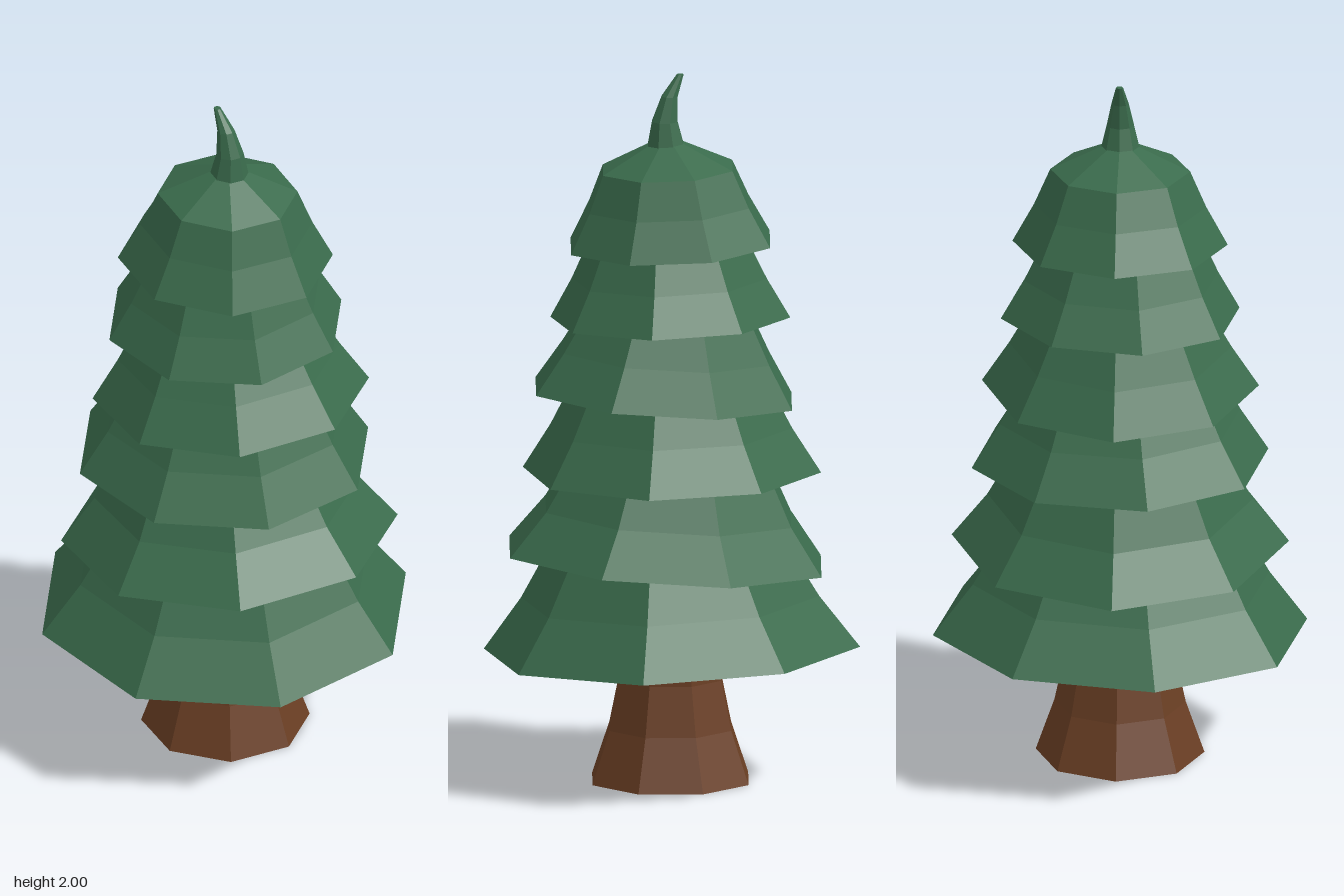
import * as THREE from 'three';

const SIDES = 8;

// Eight-sided faceted solid from [radius, height] pairs, listed bottom to top
function facetedLathe(profile, turn = 0) {
  const points = profile.map(([r, y]) => new THREE.Vector2(r, y));
  return new THREE.LatheGeometry(points, SIDES, turn, Math.PI * 2);
}

export function createModel() {
  const tree = new THREE.Group();
  tree.name = 'pineTree';

  const needles = new THREE.MeshStandardMaterial({ color: 0x3a6b4c, flatShading: true });
  needles.name = 'needle green';
  const bark = new THREE.MeshStandardMaterial({ color: 0x6b3f24, flatShading: true });
  bark.name = 'bark brown';

  const add = (name, geometry, material) => {
    const mesh = new THREE.Mesh(geometry, material);
    mesh.name = name;
    tree.add(mesh);
    return mesh;
  };

  // Flared trunk
  const trunk = add('trunk', facetedLathe([
    [0, 0], [0.235, 0], [0.183, 0.15], [0.153, 0.29], [0.148, 0.42], [0, 0.42],
  ]), bark);
  trunk.position.x = 0.005;

  // Skirts of branches: alternately turned and tilted
  const turned = THREE.MathUtils.degToRad(13.5);
  const tiers = [
    { x: 0, y: 0.372, rim: 0.53, mid: [0.42, 0.145], top: [0.335, 0.29], turn: turned, tiltX: 0.02, tiltZ: -0.03 },
    { x: 0.02, y: 0.632, rim: 0.47, mid: [0.37, 0.128], top: [0.3, 0.255], turn: 0, tiltX: 0, tiltZ: 0.069 },
    { x: 0, y: 0.878, rim: 0.42, mid: [0.34, 0.125], top: [0.28, 0.24], turn: turned, tiltX: 0, tiltZ: -0.014 },
    { x: 0.025, y: 1.095, rim: 0.386, mid: [0.31, 0.118], top: [0.25, 0.225], turn: 0, tiltX: 0, tiltZ: 0.065 },
    { x: 0.005, y: 1.312, rim: 0.338, mid: [0.275, 0.11], top: [0.225, 0.215], turn: turned, tiltX: 0.02, tiltZ: -0.02 },
    { x: 0.005, y: 1.523, rim: 0.3, mid: [0.24, 0.11], top: [0.195, 0.214], turn: 0, tiltX: 0, tiltZ: -0.038 },
  ];
  tiers.forEach((t, i) => {
    const profile = [[0, 0], [t.rim, 0], t.mid, t.top, [0, t.top[1] + 0.095]];
    const tier = add(`branchTier${i + 1}`, facetedLathe(profile, t.turn), needles);
    tier.position.set(t.x, t.y, 0);
    tier.rotation.set(t.tiltX, 0, t.tiltZ);
  });

  // Curled tip: a tapering spike whose rings lean to one side
  const tipRings = [[0.058, 1.785], [0.038, 1.87], [0.024, 1.94], [0.01, 2]];
  const tipCentres = [0.018, 0.022, 0.007, -0.025];
  const tip = facetedLathe([[0, 1.785], ...tipRings, [0, 2]]);
  const position = tip.attributes.position;
  for (let i = 0; i < position.count; i++) {
    const ring = tipRings.findIndex(([, y]) => Math.abs(y - position.getY(i)) < 1e-4);
    position.setX(i, position.getX(i) + tipCentres[ring]);
  }
  add('curledTip', tip, needles);

  return tree;
}
